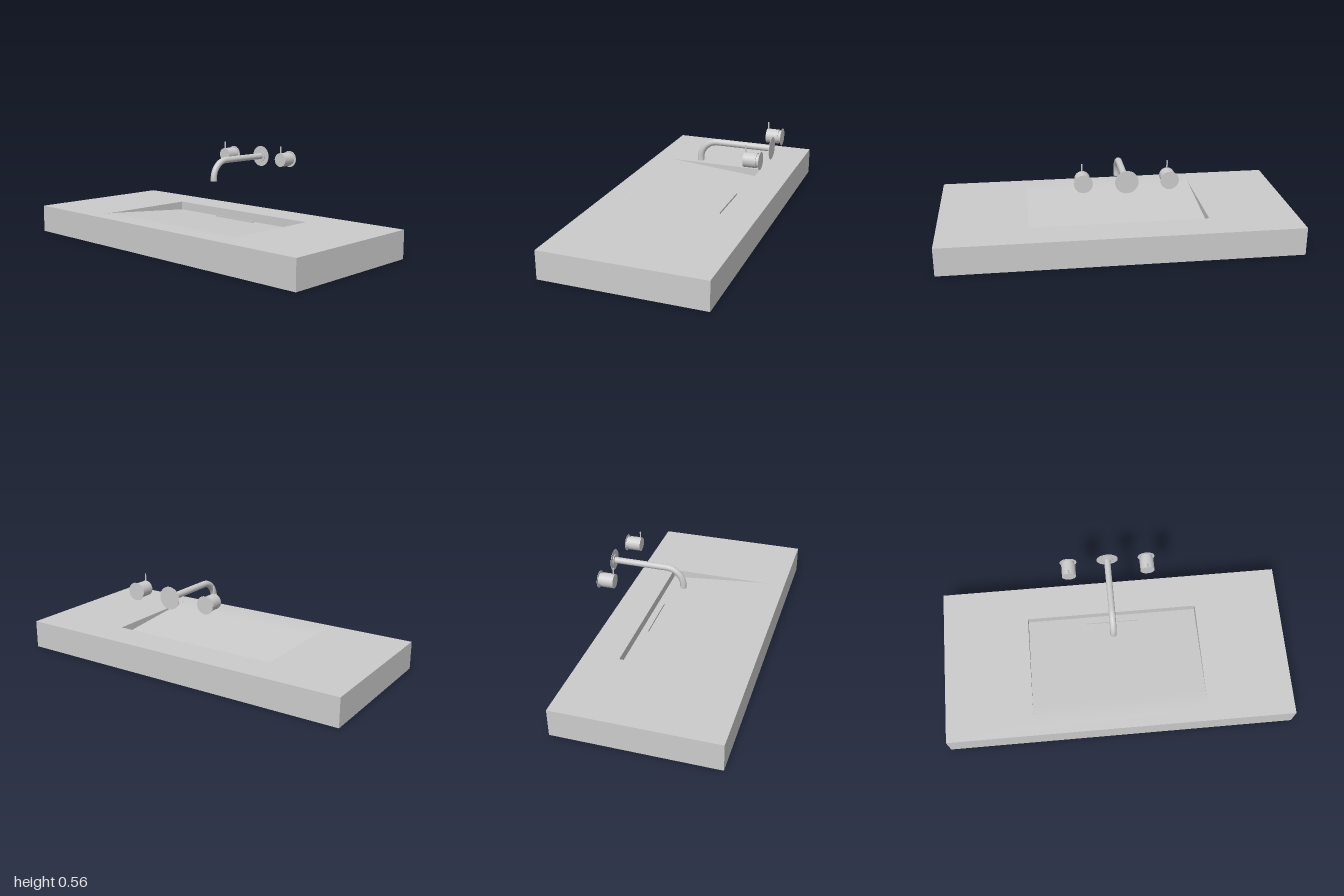
import * as THREE from 'three';

const material = new THREE.MeshStandardMaterial({ color: 0xcccccc });
const thin = new THREE.MeshStandardMaterial({ color: 0xcccccc, side: THREE.DoubleSide });

const TOP = 0.16, BACK = -0.455, FRONT = 0.455;
const BASIN = { x: 0.5, back: -0.257, front: 0.38, depth: 0.05 };
const TAP_X = -0.007, TAP_Y = 0.476;

function add(parent, name, geometry, x = 0, y = 0, z = 0, mat = material) {
  const mesh = new THREE.Mesh(geometry, mat);
  mesh.name = name;
  mesh.position.set(x, y, z);
  parent.add(mesh);
  return mesh;
}

// Cylinder lying along z between z0 and z1
function disc(parent, name, radius, z0, z1, x = 0, y = 0) {
  const g = new THREE.CylinderGeometry(radius, radius, z1 - z0, 48).rotateX(Math.PI / 2);
  return add(parent, name, g, x, y, (z0 + z1) / 2);
}

// Basin floor height: straight ramp that eases into the top near the front
function floorY(z) {
  const ease = 0.28, slope = BASIN.depth / (0.33 - BASIN.back);
  if (z <= ease) return TOP - slope * (0.33 - z);
  return TOP - slope * (BASIN.front - z) ** 2 / (2 * (BASIN.front - ease));
}

function createCountertop() {
  const group = new THREE.Group();
  group.name = 'countertop';

  // Slab with a rectangular opening right through it
  const outline = new THREE.Shape([[-1, -FRONT], [1, -FRONT], [1, -BACK], [-1, -BACK]]
    .map(([x, y]) => new THREE.Vector2(x, y)));
  const { x, back, front } = BASIN;
  outline.holes.push(new THREE.Path([[-x, -front], [-x, -back], [x, -back], [x, -front]]
    .map(([px, py]) => new THREE.Vector2(px, py))));
  const slab = new THREE.ExtrudeGeometry(outline, { depth: TOP, bevelEnabled: false });
  add(group, 'slab', slab.rotateX(-Math.PI / 2));

  // Sloping floor, open to the hollow underneath
  const floor = new THREE.PlaneGeometry(2 * x, front - back, 1, 48).rotateX(-Math.PI / 2);
  floor.translate(0, 0, (front + back) / 2);
  const p = floor.attributes.position;
  for (let i = 0; i < p.count; i++) p.setY(i, floorY(p.getZ(i)));
  floor.computeVertexNormals();
  add(group, 'basinFloor', floor, 0, 0, 0, thin);

  // Narrow drain lip near the back wall
  const lipZ = -0.213;
  add(group, 'drainLip', new THREE.BoxGeometry(0.305, 0.012, 0.003), 0, floorY(lipZ) + 0.005, lipZ);
  return group;
}

function createSpout() {
  const group = new THREE.Group();
  group.name = 'spout';
  group.position.set(TAP_X, TAP_Y, 0);

  // Straight run, quarter bend, short drop
  const r = 0.1, endZ = -0.043, k = 0.5523 * r;
  const v = (y, z) => new THREE.Vector3(0, y, z);
  const path = new THREE.CurvePath();
  path.add(new THREE.LineCurve3(v(0, BACK), v(0, endZ - r)));
  path.add(new THREE.CubicBezierCurve3(v(0, endZ - r), v(0, endZ - r + k), v(-r + k, endZ), v(-r, endZ)));
  path.add(new THREE.LineCurve3(v(-r, endZ), v(-0.115, endZ)));
  add(group, 'spoutPipe', new THREE.TubeGeometry(path, 96, 0.018, 32), 0, 0, 0, thin);
  add(group, 'spoutOutlet', new THREE.CircleGeometry(0.018, 32).rotateX(Math.PI / 2), 0, -0.115, endZ);

  disc(group, 'wallPlate', 0.061, BACK, BACK + 0.002);
  disc(group, 'collar', 0.033, BACK + 0.002, BACK + 0.006);
  return group;
}

function createHandle(side) {
  const group = new THREE.Group();
  group.name = side > 0 ? 'leftHandle' : 'rightHandle';
  group.position.set(TAP_X + side * 0.223, TAP_Y - 0.001, 0);
  disc(group, 'handlePlate', 0.048, BACK, BACK + 0.002);
  disc(group, 'handleNeck', 0.035, BACK + 0.002, -0.437);
  disc(group, 'handleBody', 0.04, -0.437, -0.367);
  add(group, 'lever', new THREE.CylinderGeometry(0.004, 0.004, 0.045, 16), 0, 0.0575, -0.373);
  return group;
}

export function createModel() {
  const model = new THREE.Group();
  model.name = 'washbasin';
  model.add(createCountertop(), createSpout(), createHandle(-1), createHandle(1));
  return model;
}
